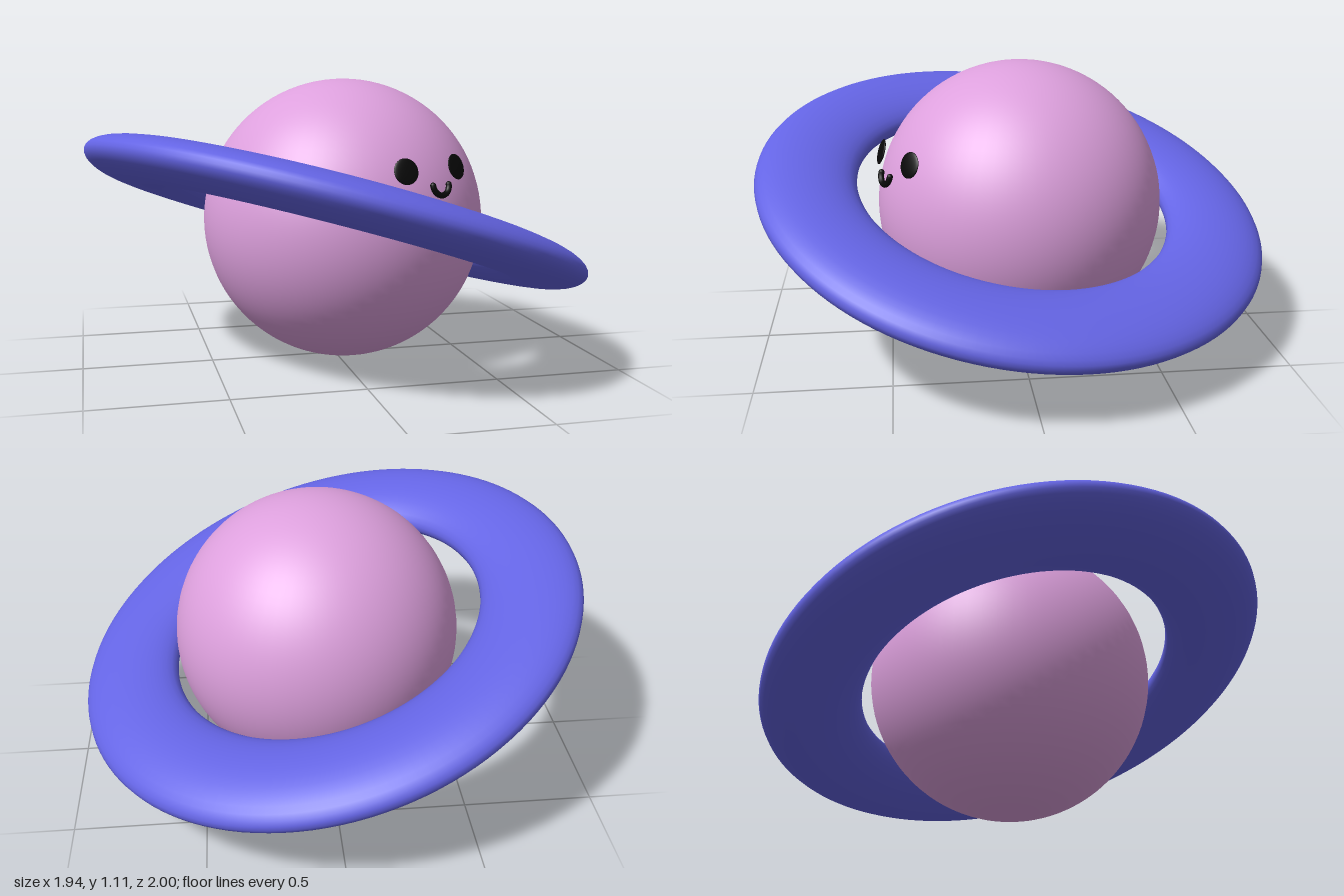
import * as THREE from 'three';

const material = (color) => new THREE.MeshStandardMaterial({ color });
const deg = THREE.MathUtils.degToRad;

export function createModel() {
  const model = new THREE.Group();
  const pink = material(0xdda0dd);
  const blue = material(0x6464e4);
  const black = material(0x080808);

  function add(name, geometry, mat, position, parent = model) {
    const mesh = new THREE.Mesh(geometry, mat);
    mesh.name = name;
    mesh.position.set(...position);
    parent.add(mesh);
    return mesh;
  }

  // Round body
  add('planetBody', new THREE.SphereGeometry(0.553, 64, 48), pink, [0.035, 0.555, -0.017]);

  // Flattened torus, tilted around the body
  const ring = add('ring', new THREE.TorusGeometry(0.817, 0.193, 32, 128), blue, [0, 0.563, 0]);
  ring.scale.z = 0.42;
  ring.quaternion.setFromUnitVectors(
    new THREE.Vector3(0, 0, 1),
    new THREE.Vector3(0.29, 0.946, -0.145).normalize(),
  );

  // Turns a face part outwards: yaw to the side, then lean back
  function face(part, yaw, pitch) {
    part.rotation.set(-deg(pitch), deg(yaw), 0, 'YXZ');
  }

  // Thin disc eyes
  const eyes = [
    ['rightEye', [0.132, 0.79, 0.517], 10],
    ['leftEye', [0.355, 0.793, 0.415], 37],
  ];
  for (const [name, position, yaw] of eyes) {
    const eye = add(name, new THREE.SphereGeometry(0.048, 32, 20), black, position);
    eye.scale.z = 0.17;
    face(eye, yaw, 17);
  }

  // Smile: half ring with rounded ends
  const mouth = new THREE.Group();
  mouth.name = 'mouth';
  mouth.position.set(0.267, 0.738, 0.502);
  face(mouth, 24, 13);
  model.add(mouth);
  const smile = add('smile', new THREE.TorusGeometry(0.038, 0.011, 12, 32, Math.PI), black, [0, 0, 0], mouth);
  smile.rotation.z = Math.PI;
  for (const side of [-1, 1]) {
    add('smileEnd', new THREE.SphereGeometry(0.011, 12, 10), black, [side * 0.038, 0, 0], mouth);
  }

  return model;
}
